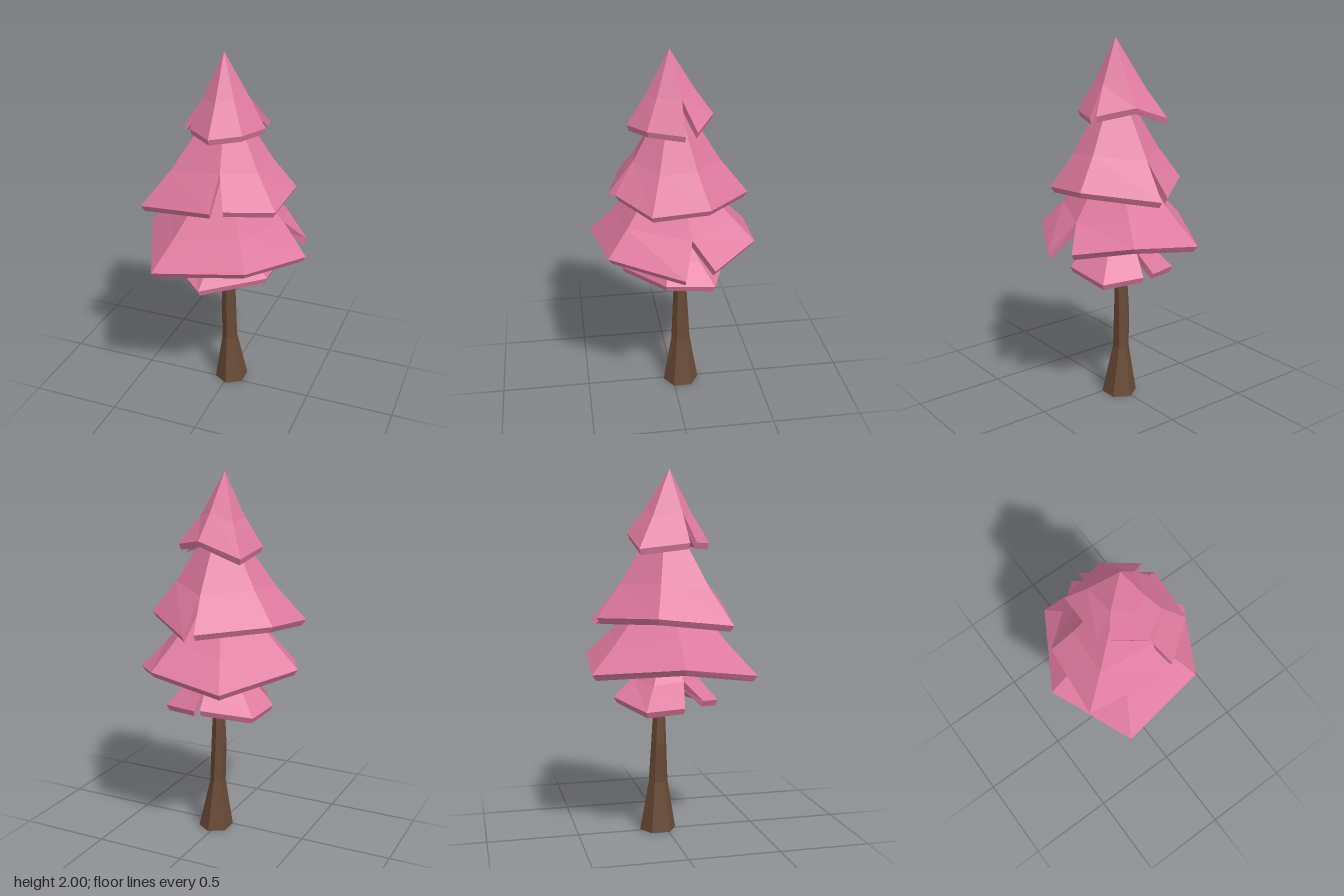
import * as THREE from 'three';

const pink = new THREE.MeshStandardMaterial({ color: 0xe07b9f });
pink.name = 'blossomPink';
const brown = new THREE.MeshStandardMaterial({ color: 0x694a36 });
brown.name = 'barkBrown';

// Foliage tiers: apex, kink position (radius and height fractions), and rim
// corners [x, y, z, slit]; slit = 1 opens a cut between this corner and the next.
const TIERS = [
  { name: 'topFoliage', apex: [-0.01, 2, 0.015], kr: 0.56, ky: 0.6, rim: [
    [0.2, 1.6, -0.04, 1], [0.205, 1.62, -0.1], [0.03, 1.66, -0.21], [-0.2, 1.58, -0.19],
    [-0.205, 1.61, 0.08, 1], [-0.155, 1.61, 0.13], [-0.01, 1.605, 0.24], [0.14, 1.615, 0.15]] },
  { name: 'upperFoliage', apex: [0, 1.81, 0], kr: 0.65, ky: 0.7, rim: [
    [0.345, 1.25, -0.15], [0.02, 1.2, -0.41, 1], [-0.035, 1.21, -0.39], [-0.355, 1.23, -0.125],
    [-0.39, 1.19, 0.265], [0.035, 1.25, 0.345, 1], [0.1, 1.26, 0.32], [0.325, 1.22, 0.15]] },
  { name: 'middleFoliage', apex: [0, 1.46, 0], kr: 0.71, ky: 0.73, rim: [
    [0.455, 0.91, -0.005, 1], [0.415, 0.935, -0.165], [0.205, 0.99, -0.415], [-0.205, 0.93, -0.445],
    [-0.455, 0.98, -0.005], [-0.255, 0.9, 0.445], [0.24, 0.955, 0.375]] },
  { name: 'lowerFoliage', apex: [0, 1.13, 0], kr: 0.64, ky: 0.7, rim: [
    [0.26, 0.775, 0.07], [0.24, 0.74, -0.2], [0.03, 0.76, -0.28, 1], [-0.02, 0.775, -0.3],
    [-0.27, 0.73, -0.17], [-0.3, 0.75, 0.03, 1], [-0.22, 0.77, 0.15], [-0.06, 0.74, 0.28]] },
];

// A thick faceted skirt with a kink halfway down and V-shaped cuts in the hem.
function foliage({ name, apex, kr, ky, rim }) {
  const n = rim.length;
  const pos = [];
  const tri = (...pts) => pts.forEach((p) => pos.push(p[0], p[1], p[2]));
  const quad = (a, b, c, d) => { tri(a, b, c); tri(a, c, d); };
  const kink = (p) => p.slice(0, 3).map((v, i) => apex[i] + (v - apex[i]) * (i === 1 ? ky : kr));
  const inward = (p, s, drop) => [apex[0] + (p[0] - apex[0]) * s, p[1] - drop, apex[2] + (p[2] - apex[2]) * s];

  // Both sides of a cut share one kink point
  const mid = rim.map(kink);
  rim.forEach((p, i) => {
    if (!p[3]) return;
    const j = (i + 1) % n;
    mid[i] = mid[j] = mid[i].map((v, k) => (v + mid[j][k]) / 2);
  });
  const hem = rim.map((p) => inward(p, 0.95, 0.032));
  const midIn = mid.map((p) => inward(p, 0.86, 0.04));
  const apexIn = [apex[0], apex[1] - 0.09, apex[2]];

  for (let i = 0; i < n; i++) {
    const j = (i + 1) % n;
    if (rim[i][3]) {
      // Cut edges
      quad(mid[i], rim[i], hem[i], midIn[i]);
      quad(rim[j], mid[j], midIn[j], hem[j]);
      continue;
    }
    tri(apex, mid[i], mid[j]);
    quad(mid[i], rim[i], rim[j], mid[j]);
    quad(rim[i], hem[i], hem[j], rim[j]);
    quad(hem[j], hem[i], midIn[i], midIn[j]);
    tri(apexIn, midIn[j], midIn[i]);
  }
  const geo = new THREE.BufferGeometry();
  geo.setAttribute('position', new THREE.Float32BufferAttribute(pos, 3));
  geo.computeVertexNormals();
  const mesh = new THREE.Mesh(geo, pink);
  mesh.name = name;
  return mesh;
}

// Six-sided trunk, flared at the foot; rings are [y, centre x, centre z, radius x, radius z]
function trunk() {
  const rings = [
    [0, 0.012, -0.047, 0.095, 0.102],
    [0.28, 0, -0.047, 0.041, 0.054],
    [0.5, -0.006, -0.045, 0.042, 0.043],
    [0.72, -0.004, -0.042, 0.033, 0.032],
    [1.0, 0, -0.03, 0.028, 0.028],
  ];
  const base = new THREE.CylinderGeometry(1, 1, 4, 6, 4);
  const p = base.attributes.position;
  for (let i = 0; i < p.count; i++) {
    const [y, cx, cz, rx, rz] = rings[Math.round(p.getY(i) + 2)];
    p.setXYZ(i, cx + p.getX(i) * rx, y, cz + p.getZ(i) * rz);
  }
  const geo = base.toNonIndexed();
  geo.computeVertexNormals();
  const mesh = new THREE.Mesh(geo, brown);
  mesh.name = 'trunk';
  return mesh;
}

export function createModel() {
  const tree = new THREE.Group();
  tree.name = 'tree';
  tree.add(trunk(), ...TIERS.map(foliage));
  return tree;
}
